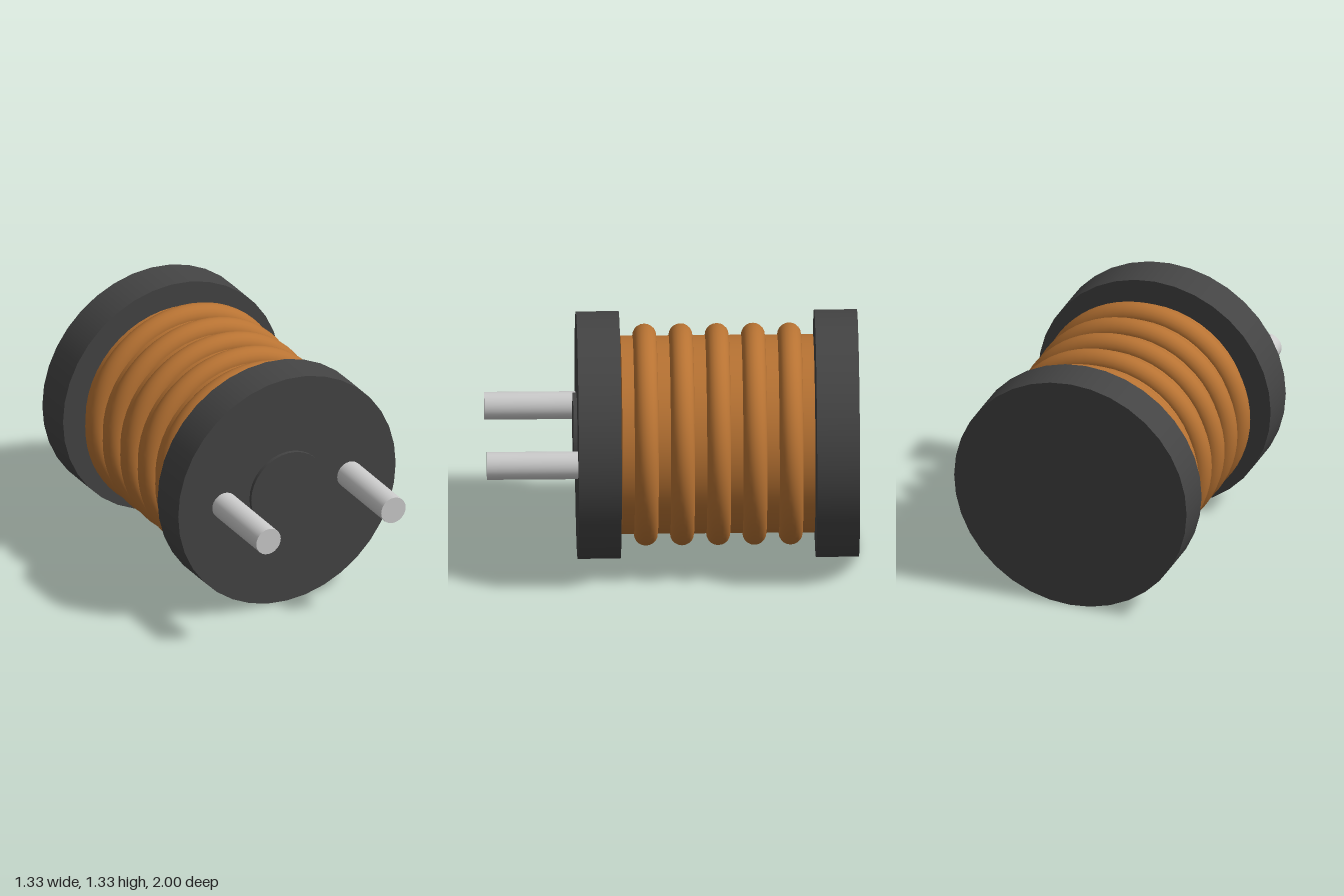
import * as THREE from 'three';

const AXIS_Y = 0.667;

export function createModel() {
  const group = new THREE.Group();
  const ferrite = new THREE.MeshStandardMaterial({ color: 0x444444 });
  const copper = new THREE.MeshStandardMaterial({ color: 0xb87333 });
  const metal = new THREE.MeshStandardMaterial({ color: 0xcccccc });

  // Cylinder lying along z between two depths
  function rod(name, radius, zBack, zFront, sides, material, x = 0) {
    const geometry = new THREE.CylinderGeometry(radius, radius, zFront - zBack, sides);
    geometry.rotateX(Math.PI / 2);
    const mesh = new THREE.Mesh(geometry, material);
    mesh.name = name;
    mesh.position.set(x, AXIS_Y, (zBack + zFront) / 2);
    group.add(mesh);
  }

  // Bobbin: two end flanges, inner core and front boss
  rod('backFlange', 0.667, -1, -0.77, 36, ferrite);
  rod('frontFlange', 0.667, 0.28, 0.51, 36, ferrite);
  rod('core', 0.133, -0.78, 0.29, 32, ferrite);
  rod('frontBoss', 0.23, 0.5, 0.53, 32, ferrite);

  // Winding body with five raised wire turns
  rod('windingBody', 0.533, -0.763, 0.273, 48, copper);
  for (let i = 0; i < 5; i++) {
    const turn = new THREE.Mesh(new THREE.TorusGeometry(0.533, 0.064, 20, 64), copper);
    turn.name = `wireTurn${i + 1}`;
    turn.position.set(0, AXIS_Y, 0.143 - i * 0.1945);
    group.add(turn);
  }

  // Terminal pins
  rod('leftPin', 0.075, 0.5, 1, 24, metal, 0.383);
  rod('rightPin', 0.075, 0.5, 1, 24, metal, -0.383);

  return group;
}
